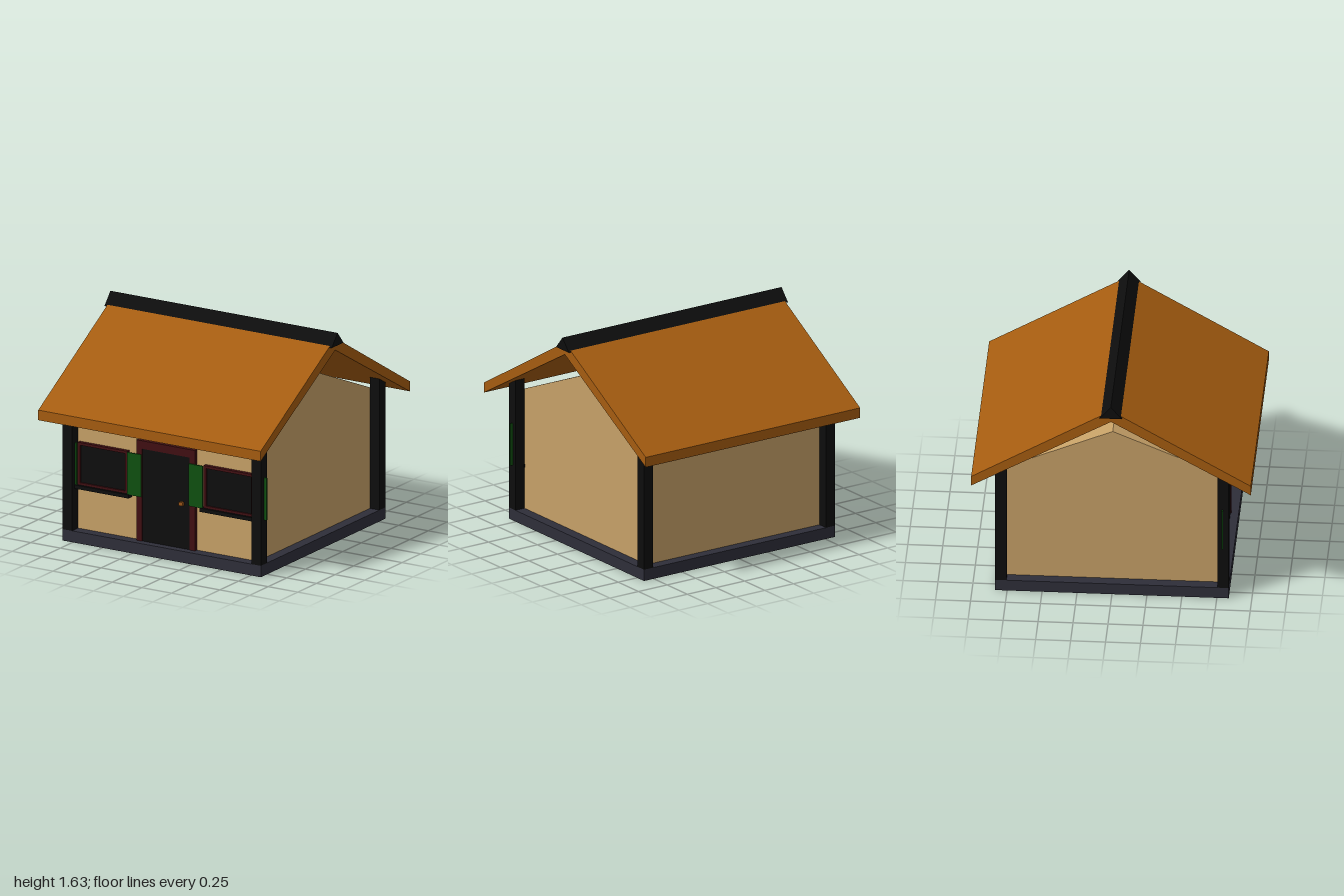
import * as THREE from 'three';

const mat = (name, color) => new THREE.MeshStandardMaterial({ name, color });

export function createModel() {
  const house = new THREE.Group();
  house.name = 'house';
  const plaster = mat('tan plaster', 0xc6a067);
  const roofing = mat('orange brown roofing', 0xa55c10);
  const black = mat('black timber', 0x0d0d0d);
  const stone = mat('slate foundation', 0x2e2e39);
  const green = mat('green shutter paint', 0x0f5010);
  const red = mat('dark red trim', 0x400f12);
  const brass = mat('brass', 0x9a5518);

  const add = (name, geometry, material) => {
    const mesh = new THREE.Mesh(geometry, material);
    mesh.name = name;
    house.add(mesh);
    return mesh;
  };
  // Box given by its lower and upper limits on each axis
  const box = (name, material, [x0, x1], [y0, y1], [z0, z1]) => {
    const mesh = add(name, new THREE.BoxGeometry(x1 - x0, y1 - y0, z1 - z0), material);
    mesh.position.set((x0 + x1) / 2, (y0 + y1) / 2, (z0 + z1) / 2);
    return mesh;
  };
  // Prism along x from a [z, y] outline
  const prism = (name, material, outline, halfLength) => {
    const shape = new THREE.Shape(outline.map(([z, y]) => new THREE.Vector2(-z, y)));
    const geometry = new THREE.ExtrudeGeometry(shape, { depth: 2 * halfLength, bevelEnabled: false });
    geometry.translate(0, 0, -halfLength).rotateY(Math.PI / 2);
    return add(name, geometry, material);
  };
  // Rectangular frame facing +z
  const frame = (name, w, h, border, depth, x, y, z) => {
    const rect = (a, b) => [[-a, -b], [a, -b], [a, b], [-a, b]].map(p => new THREE.Vector2(...p));
    const shape = new THREE.Shape(rect(w / 2, h / 2));
    shape.holes.push(new THREE.Path(rect(w / 2 - border, h / 2 - border)));
    const mesh = add(name, new THREE.ExtrudeGeometry(shape, { depth, bevelEnabled: false }), red);
    mesh.position.set(x, y, z);
  };

  // Foundation and walls with gables
  box('foundation', stone, [-0.835, 0.835], [0, 0.085], [-0.835, 0.835]);
  prism('walls', plaster,
    [[0.755, 0.08], [-0.755, 0.08], [-0.755, 0.988], [0, 1.306], [0.755, 0.988]], 0.755);

  // Corner posts
  for (const sx of [-1, 1]) {
    for (const sz of [-1, 1]) {
      const post = box('cornerPost', black, [-0.04, 0.04], [0.085, 1.065], [-0.04, 0.04]);
      post.position.x = sx * 0.795;
      post.position.z = sz * 0.795;
    }
  }

  // Pitched roof and ridge cap
  prism('roof', roofing,
    [[1, 0.925], [0, 1.495], [-1, 0.925], [-1, 1], [0, 1.585], [1, 1]], 0.937);
  prism('ridgeCap', black, [[0.08, 1.533], [-0.08, 1.533], [0, 1.626]], 0.957);

  // Door with its surround and knob
  for (const s of [-1, 1]) {
    const jamb = box('doorJamb', red, [-0.0225, 0.0225], [0.085, 0.835], [0.75, 0.782]);
    jamb.position.x = s * 0.2235;
  }
  box('doorLintel', red, [-0.201, 0.201], [0.775, 0.835], [0.75, 0.782]);
  box('door', black, [-0.205, 0.205], [0.085, 0.776], [0.75, 0.776]);
  box('doorKnob', brass, [0.12, 0.152], [0.408, 0.434], [0.775, 0.8]);

  // Windows, sills and open shutters
  for (const s of [-1, 1]) {
    const x = s * 0.53;
    frame('windowFrame', 0.42, 0.32, 0.02, 0.03, x, 0.577, 0.755);
    box('windowPane', black, [x - 0.195, x + 0.195], [0.43, 0.72], [0.75, 0.772]);
    box('windowSill', black, [x - 0.23, x + 0.23], [0.393, 0.42], [0.75, 0.805]);
    for (const d of [-1, 1]) {
      const cx = x + d * 0.27;
      box('shutter', green, [cx - 0.058, cx + 0.058], [0.417, 0.733], [0.785, 0.795]);
    }
  }
  return house;
}
